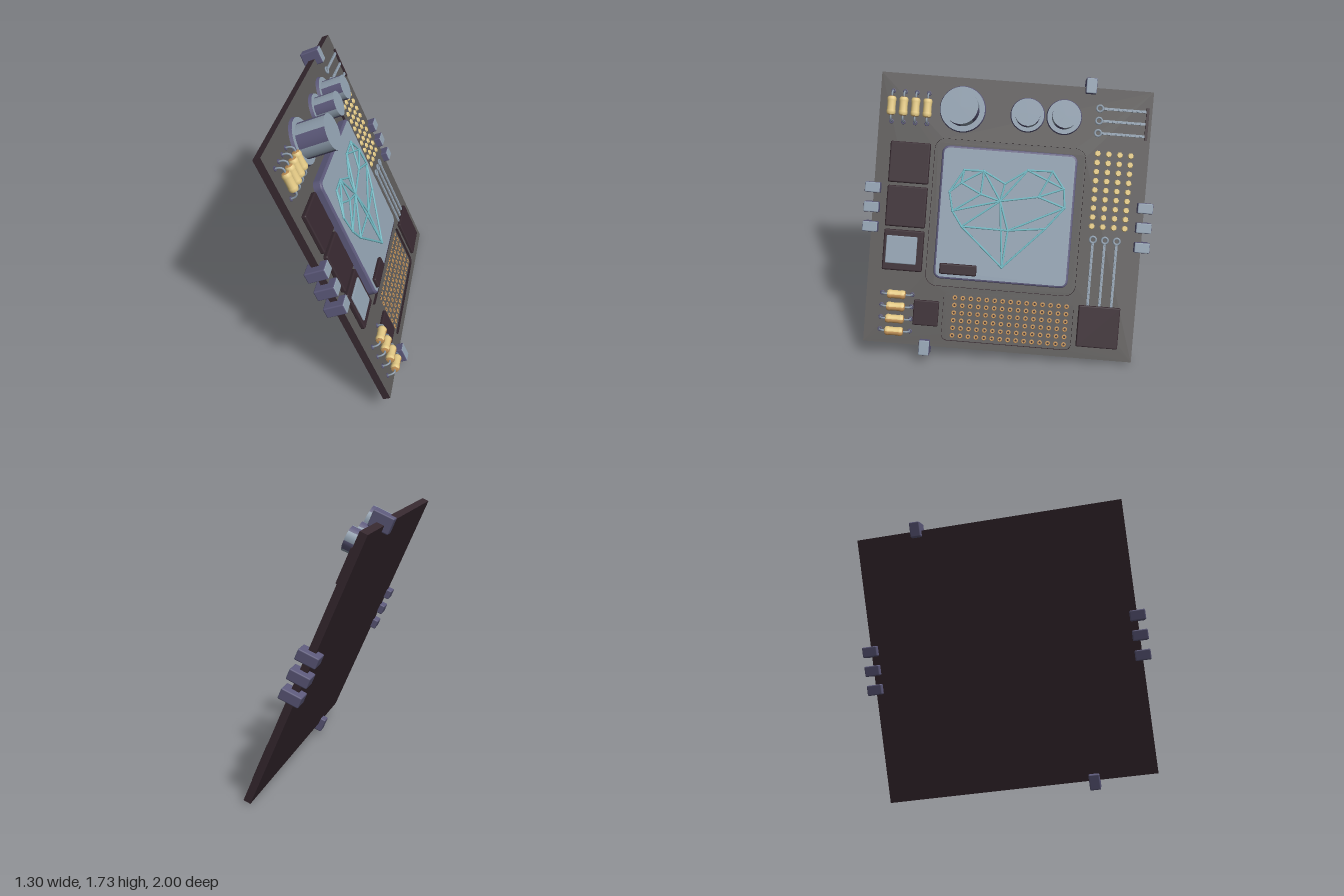
import * as THREE from 'three';
import { RoundedBoxGeometry } from 'three/addons/geometries/RoundedBoxGeometry.js';

const mat = (name, color) => Object.assign(new THREE.MeshStandardMaterial({ color }), { name });

// Rounded rectangle outline, usable as a shape or as a hole
function roundRect(cx, cy, w, h, r, Type = THREE.Shape) {
  const s = new Type(), q = Math.PI / 2;
  const x = w / 2 - r, y = h / 2 - r;
  s.absarc(cx + x, cy + y, r, 0, q);
  s.absarc(cx - x, cy + y, r, q, 2 * q);
  s.absarc(cx - x, cy - y, r, 2 * q, 3 * q);
  s.absarc(cx + x, cy - y, r, 3 * q, 4 * q);
  s.closePath();
  return s;
}

export function createModel() {
  const gray = mat('board gray', 0x5a5857);
  const dark = mat('dark plum', 0x36282f);
  const metal = mat('blue gray metal', 0x8e9dac);
  const violet = mat('muted violet', 0x5c597a);
  const teal = mat('teal', 0x70b8c2);
  const gold = mat('gold', 0xc4945a);
  const pale = mat('pale gold', 0xe2c884);

  // Everything is laid out on a flat board: x right, y up, z out of its face
  const board = new THREE.Group();
  board.name = 'circuitBoard';
  const add = (name, geo, material, x = 0, y = 0, z = 0, parent = board) => {
    const m = new THREE.Mesh(geo, material);
    m.name = name;
    m.position.set(x, y, z);
    parent.add(m);
    return m;
  };
  const box = (name, material, x, y, z, w, h, d, r = 0) =>
    add(name, r ? new RoundedBoxGeometry(w, h, d, 2, r) : new THREE.BoxGeometry(w, h, d), material, x, y, z + d / 2);
  const V = (x, y, z) => new THREE.Vector3(x, y, z);

  // Slab and face layer with two sunken panels
  const S = 1.755;
  box('backSlab', dark, 0, 0, -0.047, S, S, 0.027);
  const face = new THREE.Shape();
  face.moveTo(-S / 2, -S / 2).lineTo(S / 2, -S / 2).lineTo(S / 2, S / 2).lineTo(-S / 2, S / 2).closePath();
  const panels = [[-0.012, 0, 0.98, 0.96, 0.07], [0.053, -0.675, 0.85, 0.315, 0.04]];
  for (const p of panels) {
    face.holes.push(roundRect(...p, THREE.Path));
    add('sunkenPanel', new THREE.ShapeGeometry(roundRect(...p)), gray, 0, 0, -0.0185);
  }
  add('boardFace', new THREE.ExtrudeGeometry(face, { depth: 0.02, bevelEnabled: false, curveSegments: 6 }), [gray, dark], 0, 0, -0.02);

  // Central raised plate with a dark tab
  add('centrePlate', new THREE.ExtrudeGeometry(roundRect(-0.013, 0.005, 0.845, 0.835, 0.035),
    { depth: 0.046, bevelThickness: 0.012, bevelSize: 0.014, bevelSegments: 2, curveSegments: 5 }), [metal, violet], 0, 0, -0.02);
  box('plateTab', dark, -0.29, -0.358, 0.03, 0.24, 0.07, 0.03, 0.01);

  // Faceted wire heart: outline points first, then inner points
  const pts = [[-.03, -.302], [-.309, -.057], [-.375, .039], [-.402, .16], [-.317, .307], [-.191, .31], [-.05, .238],
    [.09, .336], [.249, .341], [.329, .235], [.343, .113], [.23, -.03],
    [-.072, .125], [-.33, .224], [-.01, -.06], [.17, .171], [-.2, .16]]
    .map(([x, y]) => V(x + 0.02, y - 0.021, 0.043));
  const edges = [];
  for (let i = 0; i < 12; i++) edges.push([i, (i + 1) % 12]);
  edges.push([12, 5], [12, 6], [12, 7], [12, 1], [12, 2], [12, 14], [12, 15], [12, 16], [16, 13], [16, 5], [16, 2],
    [13, 3], [13, 4], [13, 5], [14, 0], [14, 1], [14, 11], [14, 10], [15, 8], [15, 9], [15, 10], [9, 7], [12, 0]);
  for (const [i, j] of edges) {
    const d = pts[j].clone().sub(pts[i]);
    const wire = add('heartWire', new THREE.CylinderGeometry(0.007, 0.007, d.length(), 6), teal);
    wire.position.copy(pts[i]).lerp(pts[j], 0.5);
    wire.quaternion.setFromUnitVectors(V(0, 1, 0), d.normalize());
  }
  for (const p of pts) add('heartJoint', new THREE.IcosahedronGeometry(0.0085, 1), teal, p.x, p.y, p.z);

  // Chips
  for (const y of [0.305, 0.02, -0.265]) box('sideChip', dark, -0.657, y, -0.005, 0.26, 0.265, 0.033, 0.01);
  box('chipWindow', metal, -0.667, -0.262, 0.02, 0.2, 0.18, 0.018, 0.006);
  box('smallChip', dark, -0.48, -0.662, -0.005, 0.165, 0.165, 0.025, 0.008);
  box('cornerChip', dark, 0.644, -0.663, -0.005, 0.27, 0.27, 0.027, 0.008);

  // Capacitors on collars, their walls banded in two tones
  for (const [x, y, R, r, h] of [[-0.34, 0.675, 0.15, 0.11, 0.205], [0.08, 0.67, 0.112, 0.08, 0.155], [0.315, 0.675, 0.115, 0.08, 0.155]]) {
    const g = new THREE.Group();
    g.name = 'capacitor';
    g.position.set(x, y, 0);
    g.rotation.x = Math.PI / 2;
    board.add(g);
    add('collar', new THREE.CylinderGeometry(R - 0.006, R, 0.02, 32), [violet, metal, violet], 0, 0.01, 0, g);
    add('capacitorTop', new THREE.CircleGeometry(r, 32).rotateX(-Math.PI / 2), metal, 0, h, 0, g);
    const step = Math.PI / 4;
    for (let i = 0; i < 8; i++)
      add('capacitorWall', new THREE.CylinderGeometry(r, r, h, 5, 1, true, i * step, step), i % 2 ? violet : metal, 0, h / 2, 0, g);
  }

  // Resistors: pale body with gold ends, bent leads and ringed feet
  function resistor(x, y, turn, paleAngle) {
    const g = new THREE.Group();
    g.name = 'resistor';
    g.position.set(x, y, 0);
    g.rotation.z = turn;
    board.add(g);
    const L = 0.063, r = 0.029, lead = 0.035;
    const lathe = (points, ...angles) => new THREE.LatheGeometry(points.map(([a, b]) => new THREE.Vector2(a, b)), ...angles);
    const body = [[r * .8, -L + .006], [r, -L + .016], [r, -L + .03], [r * .92, -L + .036], [r * .92, L - .036],
      [r, L - .03], [r, L - .016], [r * .8, L - .006]];
    add('resistorBody', lathe(body, 14, 0, paleAngle), pale, 0, 0, 0.045, g);
    if (paleAngle < 6) add('resistorFront', lathe(body, 14, paleAngle, 2 * Math.PI - paleAngle), gold, 0, 0, 0.045, g);
    add('resistorEnd', lathe([[r * .8, L - .006], [0, L]], 14), gold, 0, 0, 0.045, g);
    add('resistorEnd', lathe([[0, -L], [r * .8, -L + .006]], 14), gold, 0, 0, 0.045, g);
    for (const s of [-1, 1]) {
      const curve = new THREE.CatmullRomCurve3([V(0, s * (L - 0.01), 0.045), V(0, s * (L + lead * 0.5), 0.047), V(0, s * (L + lead * 0.9), 0.03), V(0, s * (L + lead), 0)]);
      add('resistorLead', new THREE.TubeGeometry(curve, 8, 0.006, 6), metal, 0, 0, 0, g);
      add('leadFoot', new THREE.TorusGeometry(0.011, 0.005, 5, 10), violet, 0, s * (L + lead), 0.003, g);
    }
  }
  for (let i = 0; i < 4; i++) {
    resistor(-0.795 + i * 0.077, 0.662, 0, Math.PI * 2);
    resistor(-0.675, -0.55 - i * 0.08, Math.PI / 2, Math.PI * 0.85 );
  }

  // Flat ring contacts with dark centres in the lower panel
  const ring = new THREE.TorusGeometry(0.0115, 0.0055, 5, 9).scale(1, 1, 0.5);
  const hole = new THREE.CircleGeometry(0.009, 8);
  for (let i = 0; i < 15; i++)
    for (let j = 0; j < 6; j++) {
      add('ringContact', ring, gold, -0.3 + i * 0.0523, -0.8 + j * 0.05, -0.017);
      add('contactHole', hole, dark, -0.3 + i * 0.0523, -0.8 + j * 0.05, -0.0175);
    }

  // Flat solder dots on the right
  const dot = new THREE.CylinderGeometry(0.016, 0.021, 0.012, 7).rotateX(Math.PI / 2);
  for (let i = 0; i < 4; i++)
    for (let j = 0; j < 9; j++) add('solderDot', dot, pale, 0.55 + i * 0.071, -0.012 + j * 0.0588, 0.005).rotation.z = i + j * 2;

  // Beaded traces, each starting at an eyelet
  const knot = new THREE.IcosahedronGeometry(0.0105, 0).scale(1, 1, 0.8);
  function trace(x, y, dx, dy) {
    const length = Math.hypot(dx, dy), n = Math.round(length / 0.03);
    box('trace', metal, x + dx * 0.53, y + dy * 0.53, 0, Math.abs(dx) * 0.94 || 0.016, Math.abs(dy) * 0.94 || 0.016, 0.01);
    add('traceEyelet', new THREE.TorusGeometry(0.02, 0.007, 6, 14), metal, x, y, 0.005);
    for (let i = 1; i < n; i++) add('traceBead', knot, metal, x + dx * i / n, y + dy * i / n, 0.005);
  }
  for (let i = 0; i < 3; i++) {
    trace(0.54, 0.748 - i * 0.079, 0.3, 0);
    trace(0.565 + i * 0.077, -0.098, 0, -0.44);
  }
  box('traceSocket', dark, 0.848, 0.668, 0, 0.018, 0.21, 0.012);

  // Clips gripping the board edges, lighter on the front face
  const clip = (x, y, w, h) => box('edgeClip', [violet, violet, violet, violet, metal, violet], x, y, -0.085, w, h, 0.13, 0.008);
  for (const s of [-1, 1]) {
    for (const y of [0.13, 0.003, -0.124]) clip(s * 0.88, y, 0.1, 0.068);
    clip(s * 0.473, s * 0.885, 0.07, 0.1);
  }

  // Tilt the board into place
  const u = V(0.348, -0.064, -0.935).normalize();
  const n = u.clone().cross(V(-0.369, 0.908, -0.197)).normalize();
  const v = n.clone().cross(u);
  board.quaternion.setFromRotationMatrix(new THREE.Matrix4().makeBasis(u, v, n));
  board.position.set(0.02, 0.874, 0.004);
  const model = new THREE.Group();
  model.name = 'tiltedCircuitBoard';
  model.add(board);
  return model;
}
